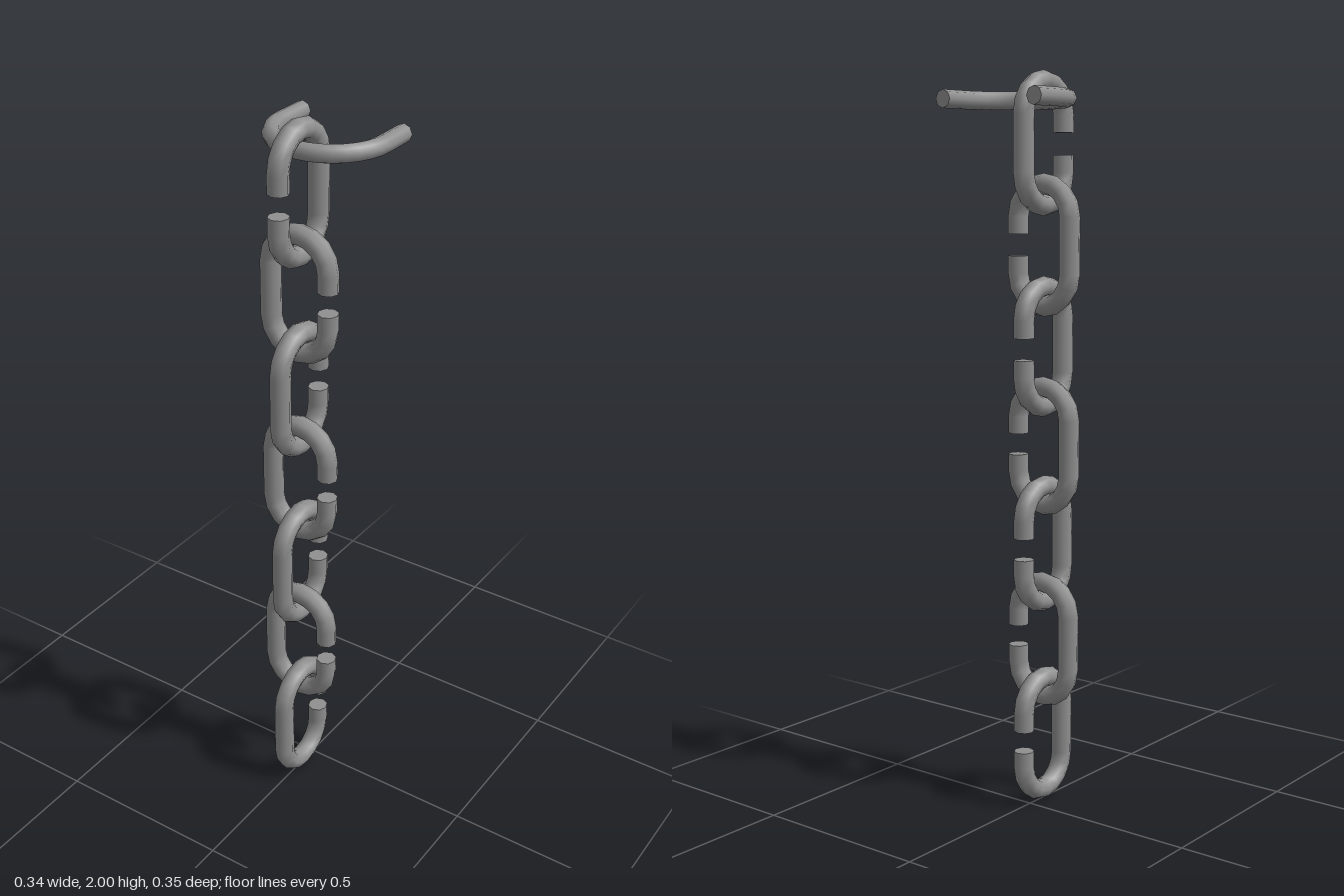
import * as THREE from 'three';

const SIDES = 8;

// Half-circle stations (centre on the v axis) swept counter-clockwise from angle a0
function arc(radius, centreV, a0, steps) {
  const out = [];
  for (let i = 0; i <= steps; i++) {
    const a = a0 + (Math.PI * i) / steps;
    out.push({ u: radius * Math.cos(a), v: centreV + radius * Math.sin(a), a });
  }
  return out;
}

// Round rod swept through planar stations; a is the angle of the outward normal
function rod(stations, r) {
  const pos = [], nor = [], idx = [];
  const ringPoint = (s, j) => {
    const b = (2 * Math.PI * j) / SIDES;
    const n = [Math.cos(s.a) * Math.cos(b), Math.sin(s.a) * Math.cos(b), Math.sin(b)];
    return { n, p: [s.u + r * n[0], s.v + r * n[1], r * n[2]] };
  };
  stations.forEach((s, i) => {
    for (let j = 0; j <= SIDES; j++) {
      const { n, p } = ringPoint(s, j);
      pos.push(...p);
      nor.push(...n);
      if (i < stations.length - 1 && j < SIDES) {
        const k = i * (SIDES + 1) + j, m = k + SIDES + 1;
        idx.push(k, m, k + 1, k + 1, m, m + 1);
      }
    }
  });
  // flat end caps
  for (const [s, sign] of [[stations[0], -1], [stations[stations.length - 1], 1]]) {
    const base = pos.length / 3;
    const normal = [-Math.sin(s.a) * sign, Math.cos(s.a) * sign, 0];
    for (let j = 0; j < SIDES; j++) {
      pos.push(...ringPoint(s, j).p);
      nor.push(...normal);
      if (j > 1) idx.push(base, ...(sign < 0 ? [base + j - 1, base + j] : [base + j, base + j - 1]));
    }
  }
  const g = new THREE.BufferGeometry();
  g.setAttribute('position', new THREE.Float32BufferAttribute(pos, 3));
  g.setAttribute('normal', new THREE.Float32BufferAttribute(nor, 3));
  g.setIndex(idx);
  return g;
}

export function createModel() {
  const model = new THREE.Group();
  model.name = 'chain';
  const metal = new THREE.MeshStandardMaterial({ color: 0x909090 });

  // Open oval link with the gap on its +x side
  const R = 0.086, half = 0.076, gap = 0.029;
  const linkGeometry = rod([
    { u: R, v: gap, a: 0 },
    ...arc(R, half, 0, 8),
    ...arc(R, -half, Math.PI, 8),
    { u: R, v: -gap, a: 2 * Math.PI },
  ], 0.028);

  // Seven links, alternately turned a quarter; the top one opens to the front
  for (let i = 0; i < 7; i++) {
    const link = new THREE.Mesh(linkGeometry, metal);
    link.name = `link${i + 1}`;
    link.position.set(0, i === 0 ? 1.81 : 1.543 - (i - 1) * 0.2706, 0.059);
    if (i % 2 === 0) link.rotation.y = i === 0 ? -Math.PI / 2 : Math.PI / 2;
    model.add(link);
  }

  // Horizontal U-shaped staple holding the top link
  const S = 0.148;
  const stapleGeometry = rod([
    { u: -S, v: 0.175, a: Math.PI },
    ...arc(S, 0.085, Math.PI, 16),
    { u: S, v: 0.175, a: 2 * Math.PI },
  ], 0.024);
  stapleGeometry.rotateX(-Math.PI / 2);
  const staple = new THREE.Mesh(stapleGeometry, metal);
  staple.name = 'staple';
  staple.position.y = 1.921;
  model.add(staple);

  return model;
}
